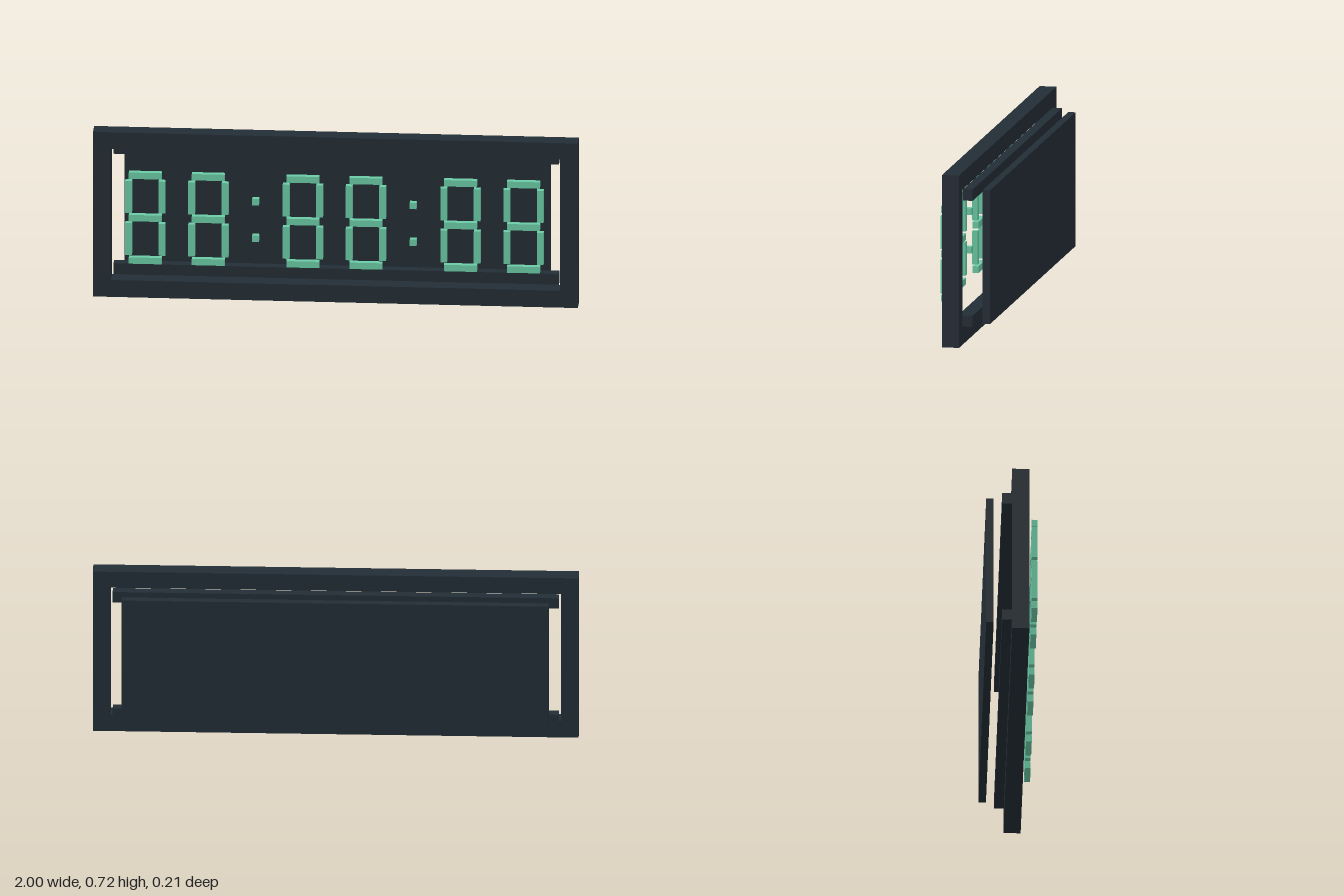
import * as THREE from 'three';

export function createModel() {
  const model = new THREE.Group();
  model.name = 'digitalClock';

  const casing = new THREE.MeshStandardMaterial({ color: 0x232d36 });
  casing.name = 'dark casing';
  const glow = new THREE.MeshStandardMaterial({ color: 0x6bcba6 });
  glow.name = 'mint segment';

  // Box given by its lower and upper limits on each axis
  function box(parent, name, material, [x0, x1], [y0, y1], [z0, z1]) {
    const mesh = new THREE.Mesh(new THREE.BoxGeometry(x1 - x0, y1 - y0, z1 - z0), material);
    mesh.position.set((x0 + x1) / 2, (y0 + y1) / 2, (z0 + z1) / 2);
    mesh.name = name;
    parent.add(mesh);
  }

  // Frame: a rectangle with a rectangular opening
  const outline = new THREE.Shape([
    new THREE.Vector2(-1, 0), new THREE.Vector2(1, 0),
    new THREE.Vector2(1, 0.722), new THREE.Vector2(-1, 0.722),
  ]);
  outline.holes.push(new THREE.Path([
    new THREE.Vector2(-0.927, 0.074), new THREE.Vector2(-0.927, 0.65),
    new THREE.Vector2(0.927, 0.65), new THREE.Vector2(0.927, 0.074),
  ]));
  const frame = new THREE.Mesh(
    new THREE.ExtrudeGeometry(outline, { depth: 0.071, bevelEnabled: false }), casing);
  frame.name = 'frame';
  model.add(frame);

  // Rails behind the frame, and the back panel
  box(model, 'lowerRail', casing, [-0.92, 0.917], [0.074, 0.121], [-0.04, 0]);
  box(model, 'upperRail', casing, [-0.92, 0.917], [0.602, 0.649], [-0.04, 0]);
  box(model, 'backPanel', casing, [-0.88, 0.878], [0.081, 0.641], [-0.105, -0.074]);

  // Seven-segment digits in three pairs
  const depth = [0.083, 0.107];
  const pitch = 0.13;
  [-6, -4, -1, 1, 4, 6].forEach((step, i) => {
    const digit = new THREE.Group();
    digit.name = `digit${i + 1}`;
    digit.position.x = step * pitch - 0.002;
    for (const y of [0.161, 0.347, 0.533]) {
      box(digit, 'horizontalSegment', glow, [-0.068, 0.068], [y, y + 0.028], depth);
    }
    for (const x of [-0.083, 0.055]) {
      for (const y of [0.199, 0.384]) {
        box(digit, 'verticalSegment', glow, [x, x + 0.028], [y, y + 0.14], depth);
      }
    }
    model.add(digit);
  });

  // Colon dots between the pairs
  for (const step of [-2.5, 2.5]) {
    const x = step * pitch - 0.002;
    for (const y of [0.283, 0.444]) {
      box(model, 'colonDot', glow, [x - 0.014, x + 0.014], [y - 0.014, y + 0.014], depth);
    }
  }

  return model;
}
